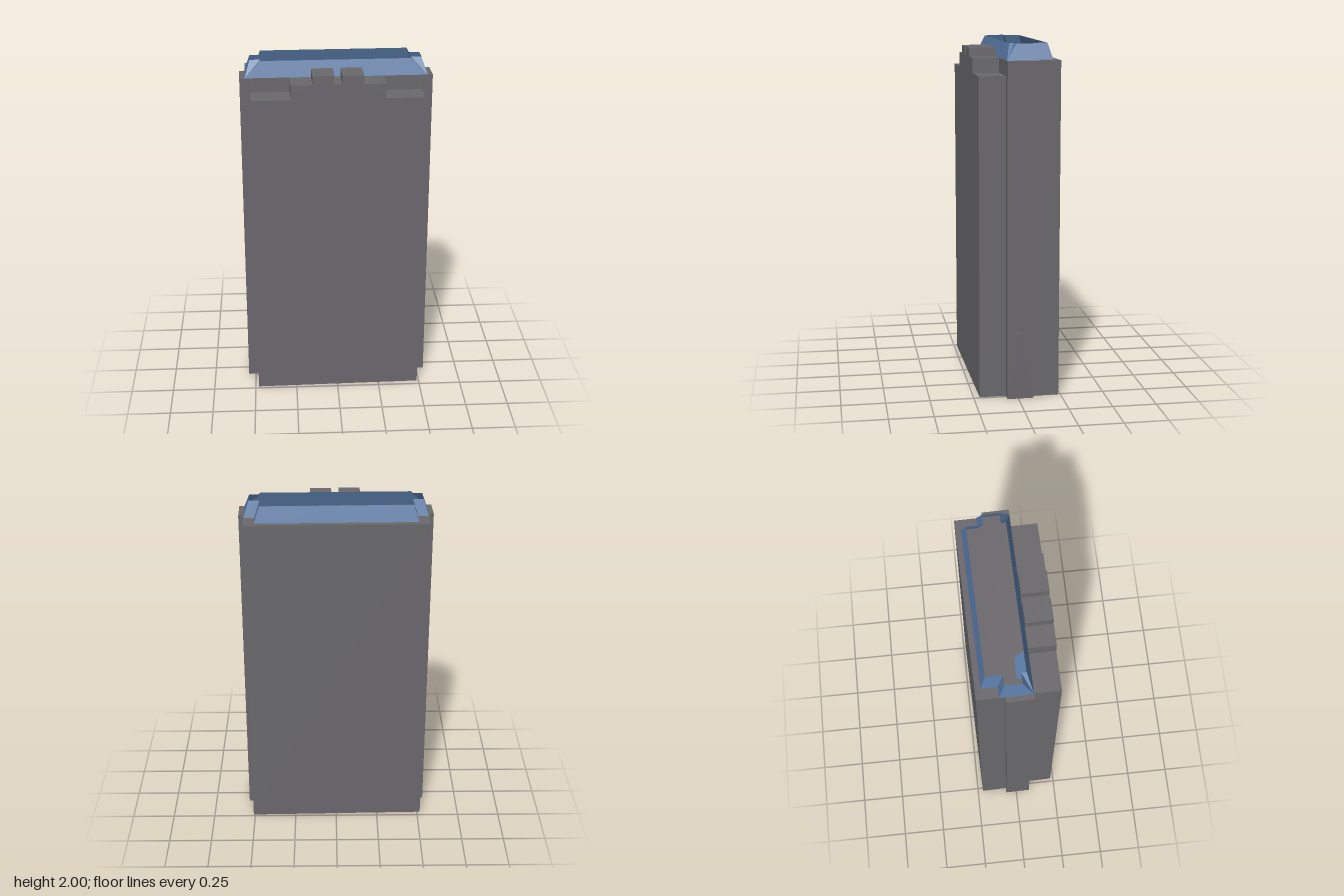
import * as THREE from 'three';

const H = 1.91;        // deck height
const STEP = 0.073;    // z where the front block begins
const FRONT = 0.2235;  // z of the front face

const gray = new THREE.MeshStandardMaterial({ color: 0x6a686c, side: THREE.DoubleSide });
gray.name = 'slateGray';
const blue = new THREE.MeshStandardMaterial({ color: 0x5878a4, side: THREE.DoubleSide });
blue.name = 'steelBlue';

// Flat-faced sheet spanning two matching rows of 3D points
function sheet(low, high, closed = false) {
  const pos = [];
  const n = low.length;
  for (let i = 0; i < (closed ? n : n - 1); i++) {
    const j = (i + 1) % n;
    pos.push(...low[i], ...low[j], ...high[j], ...low[i], ...high[j], ...high[i]);
  }
  const g = new THREE.BufferGeometry();
  g.setAttribute('position', new THREE.Float32BufferAttribute(pos, 3));
  g.computeVertexNormals();
  return g;
}

// Appends the mirror image (x -> -x) of a row of points, in reverse order
const mirrored = (pts) => [...pts, ...pts.map(([x, ...r]) => [-x, ...r]).reverse()];
const shapeOf = (pts) => new THREE.Shape(pts.map((p) => new THREE.Vector2(...p)));
const atHeight = (pts, y) => pts.map(([x, z]) => [x, y, z]);

export function createModel() {
  const model = new THREE.Group();
  model.name = 'tower';
  model.rotation.y = 0.0185;
  const add = (name, geometry, material) => {
    const mesh = new THREE.Mesh(geometry, material);
    mesh.name = name;
    model.add(mesh);
    return mesh;
  };

  // Rear and middle walls, open at the bottom
  const rightWall = [[0.544, -0.076], [0.514, -0.076], [0.514, -0.228]];
  const rear = mirrored(rightWall);
  rear.push([-0.544, STEP], [-0.485, STEP]);
  add('rearWalls', sheet(atHeight(rear, 0), atHeight(rear, H)), gray);
  const ledge = [[0.485, STEP], [0.544, STEP]];
  add('ledgeWall', sheet(atHeight(ledge, 0), atHeight(ledge, H)), gray);

  // Side wall with a small round recess
  const side = shapeOf([[-STEP, 0], [0.076, 0], [0.076, H], [-STEP, H]]);
  const hole = new THREE.Path();
  hole.absarc(-0.005, 0.4, 0.016, 0, Math.PI * 2, true);
  side.holes.push(hole);
  add('sideWall', new THREE.ShapeGeometry(side, 10).rotateY(Math.PI / 2), gray).position.x = 0.544;
  const recess = add('recessRim',
    new THREE.CylinderGeometry(0.016, 0.016, 0.01, 20, 1, true).rotateZ(Math.PI / 2), gray);
  recess.position.set(0.539, 0.4, 0.005);
  const recessFloor = add('recessFloor', new THREE.CircleGeometry(0.016, 20).rotateY(Math.PI / 2), gray);
  recessFloor.position.set(0.534, 0.4, 0.005);

  // Flat roof deck
  const deck = mirrored([[0.544, -STEP], [0.544, 0.076], [0.514, 0.076], [0.514, 0.228]]);
  add('roofDeck', new THREE.ShapeGeometry(shapeOf(deck)).rotateX(-Math.PI / 2), gray).position.y = H;

  // Front block with a stepped, crenellated top
  const profile = mirrored([
    [0.485, 0], [0.485, 1.826], [0.264, 1.826], [0.264, H],
    [0.143, H], [0.143, 1.96], [0.021, 1.96], [0.021, H],
  ]);
  add('frontFace', new THREE.ShapeGeometry(shapeOf(profile)), gray).position.z = FRONT;
  const depth = (z) => profile.map(([x, y]) => [x, y, z]);
  add('frontBlockSides', sheet(depth(FRONT), depth(STEP)), gray);
  for (const s of [1, -1]) {
    const shoulder = add('shoulderBack', new THREE.PlaneGeometry(0.221, H - 1.826), gray);
    shoulder.position.set(s * 0.3745, (H + 1.826) / 2, STEP);
    const tooth = add('toothBack', new THREE.PlaneGeometry(0.122, 0.05).rotateY(Math.PI), gray);
    tooth.position.set(s * 0.082, 1.935, STEP);
  }

  // Sloping blue parapet; its front corners fan out from one point
  const base = mirrored([
    [0.515, 0.072], [0.515, 0.072], [0.515, 0.072],
    [0.515, -0.108], [0.454, -0.108], [0.454, -0.197],
  ]);
  const crest = mirrored([
    [0.424, 0.044], [0.424, 0.016], [0.484, 0.016],
    [0.484, -0.079], [0.424, -0.079], [0.424, -0.17],
  ]);
  add('parapet', sheet(atHeight(base, H), atHeight(crest, 2), true), blue);

  // Blue rounded patch on the roof
  const patch = new THREE.Shape();
  patch.moveTo(-0.425, -0.046);
  patch.lineTo(-0.283, -0.046);
  patch.quadraticCurveTo(-0.287, 0.004, -0.335, 0.006);
  patch.lineTo(-0.425, 0.006);
  add('roofPatch', new THREE.ShapeGeometry(patch).rotateX(-Math.PI / 2), blue).position.y = H + 0.003;

  const root = new THREE.Group();
  root.name = 'model';
  root.add(model);
  return root;
}
